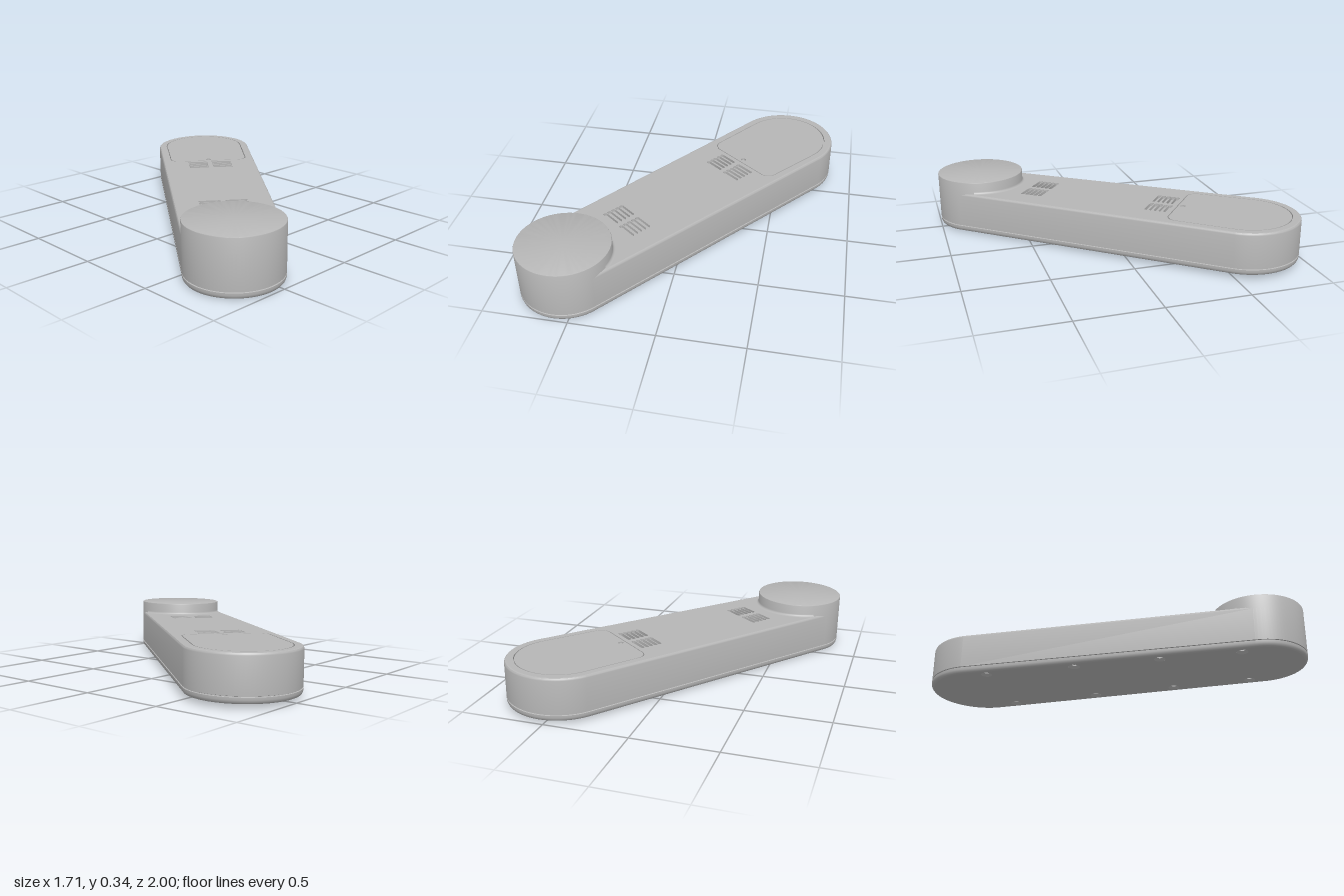
import * as THREE from 'three';
import { toCreasedNormals } from 'three/addons/utils/BufferGeometryUtils.js';

const LENGTH = 1.787, R_WIDE = 0.32, R_NARROW = 0.275;
const TOP = 0.268, BOTTOM = 0.0125, CAP_TOP = 0.3435;

// Tapered capsule outline; wide end centred on the origin, narrow end at -LENGTH
function outline(inset) {
  const a = Math.acos((R_WIDE - R_NARROW) / LENGTH), pts = [], n = 40;
  for (let i = 0; i <= n; i++) {
    const t = -a + (2 * a * i) / n;
    pts.push(new THREE.Vector2(Math.cos(t), Math.sin(t)).multiplyScalar(R_WIDE - inset));
  }
  for (let i = 0; i <= n; i++) {
    const t = a + ((2 * Math.PI - 2 * a) * i) / n;
    const p = new THREE.Vector2(Math.cos(t), Math.sin(t)).multiplyScalar(R_NARROW - inset);
    p.x -= LENGTH;
    pts.push(p);
  }
  return pts;
}

// Side wall through a bottom-to-top profile of [inset, height]
function wall(profile) {
  const pos = [], idx = [], n = outline(0).length;
  for (const [inset, y] of profile) for (const p of outline(inset)) pos.push(p.x, y, -p.y);
  for (let j = 0; j < profile.length - 1; j++) {
    for (let i = 0; i < n; i++) {
      const a = j * n + i, b = j * n + ((i + 1) % n);
      idx.push(a, b, b + n, a, b + n, a + n);
    }
  }
  const g = new THREE.BufferGeometry();
  g.setAttribute('position', new THREE.Float32BufferAttribute(pos, 3));
  g.setIndex(idx);
  return toCreasedNormals(g, 0.6);
}

// Flat plate extruded upward from height y
function plate(shape, y, depth) {
  const g = new THREE.ExtrudeGeometry(shape, { depth, bevelEnabled: false, curveSegments: 24 });
  return toCreasedNormals(g.rotateX(-Math.PI / 2).translate(0, y, 0), 0.6);
}

function circle(x, y, r) {
  return new THREE.Shape().absarc(x, y, r, 0, Math.PI * 2, false);
}

function slot(x, y, half, r) {
  const s = new THREE.Shape();
  s.absarc(x, y + half, r, 0, Math.PI, false);
  s.absarc(x, y - half, r, Math.PI, Math.PI * 2, false);
  s.closePath();
  return s;
}

// Hatch outline: round at the wide end, square with soft corners at the other
function hatch(off) {
  const r = 0.27 - off, e = -0.42 + off, h = r - 0.011, c = 0.065 - off;
  const s = new THREE.Shape();
  s.absarc(0, 0, r, -Math.PI / 2, Math.PI / 2, false);
  s.lineTo(e + c, h);
  s.absarc(e + c, h - c, c, Math.PI / 2, Math.PI, false);
  s.absarc(e + c, -h + c, c, Math.PI, Math.PI * 1.5, false);
  s.closePath();
  return s;
}

export function createModel() {
  const grey = new THREE.MeshStandardMaterial({ color: 0xb6b6b6 });
  grey.name = 'light grey';
  const arm = new THREE.Group();
  arm.name = 'arm';
  const add = (name, geometry, x = 0, y = 0, z = 0) => {
    const m = new THREE.Mesh(geometry, grey);
    m.name = name;
    m.position.set(x, y, z);
    arm.add(m);
    return m;
  };

  // Housing wall with a rounded upper edge
  add('housing', wall([[0.006, 0.05], [0.006, 0.053], [0, 0.055], [0, TOP - 0.014],
    [0.002, TOP - 0.007], [0.006, TOP - 0.002], [0.013, TOP]]));

  // Top plate, pierced by the hatch opening and two groups of vent slots
  const deck = new THREE.Shape(outline(0.013));
  deck.holes.push(hatch(0));
  for (const s of [-0.516, -1.346])
    for (const t of [-0.078, 0.078])
      for (let i = -2; i <= 2; i++)
        deck.holes.push(slot(s + i * 0.0295, t, 0.0515, 0.0125));
  add('topPlate', plate(deck, TOP - 0.018, 0.018));
  const floor = new THREE.ShapeGeometry(new THREE.Shape(outline(0.03))).rotateX(-Math.PI / 2);
  add('recessFloor', floor, 0, TOP - 0.018, 0);

  // Hatch cover and its small screw
  const cover = hatch(0.006);
  cover.holes.push(circle(-0.386, 0, 0.016));
  add('hatchCover', plate(cover, TOP - 0.018, 0.018));
  add('hatchScrew', new THREE.CylinderGeometry(0.009, 0.009, 0.012, 20), -0.386, TOP - 0.012, 0);

  // Raised round cap at the narrow end
  const r = R_NARROW;
  const capProfile = [[r, 0.056], [r, CAP_TOP - 0.005], [r - 0.0015, CAP_TOP - 0.0015],
    [r - 0.005, CAP_TOP], [0, CAP_TOP]].map(p => new THREE.Vector2(...p));
  add('roundCap', toCreasedNormals(new THREE.LatheGeometry(capProfile, 96), 0.6), -LENGTH, 0, 0);

  // Concave fillet where the cap meets the top plate
  const fillet = [], f = 0.016;
  for (let i = 0; i <= 6; i++) {
    const a = (i / 6) * Math.PI / 2;
    fillet.push(new THREE.Vector2(r + f - f * Math.sin(a), TOP + f - f * Math.cos(a)));
  }
  add('capFillet', new THREE.LatheGeometry(fillet, 48, Math.PI / 2 - 1.2, 2.4), -LENGTH, 0, 0);

  // Base cover with a rounded lower edge and countersunk screw holes
  add('baseEdge', wall([[0.018, BOTTOM], [0.009, BOTTOM + 0.004], [0.003, BOTTOM + 0.012],
    [0, BOTTOM + 0.022], [0, 0.048], [0.006, 0.05]]));
  const base = new THREE.Shape(outline(0.018));
  const sink = [[0, 0.034], [0.018, 0.034], [0.018, 0.027], [0.034, BOTTOM]].map(p => new THREE.Vector2(...p));
  const sinkGeometry = toCreasedNormals(new THREE.LatheGeometry(sink, 32), 0.6);
  for (const s of [-0.14, -0.7, -1.22, -1.7]) {
    for (const side of [-1, 1]) {
      const t = side * (R_WIDE - 0.062 + s * 0.025);
      base.holes.push(circle(s, t, 0.034));
      add('screwHole', sinkGeometry, s, 0, -t);
    }
  }
  add('basePlate', plate(base, BOTTOM, 0.02));

  // Swing the arm onto its diagonal, then tip it slightly
  arm.position.set(0.53, 0, -0.68);
  arm.rotation.y = 0.901;
  const model = new THREE.Group();
  model.name = 'model';
  const tilt = new THREE.Group();
  tilt.name = 'tilt';
  tilt.rotation.z = 0.0145;
  tilt.add(arm);
  model.add(tilt);
  return model;
}
